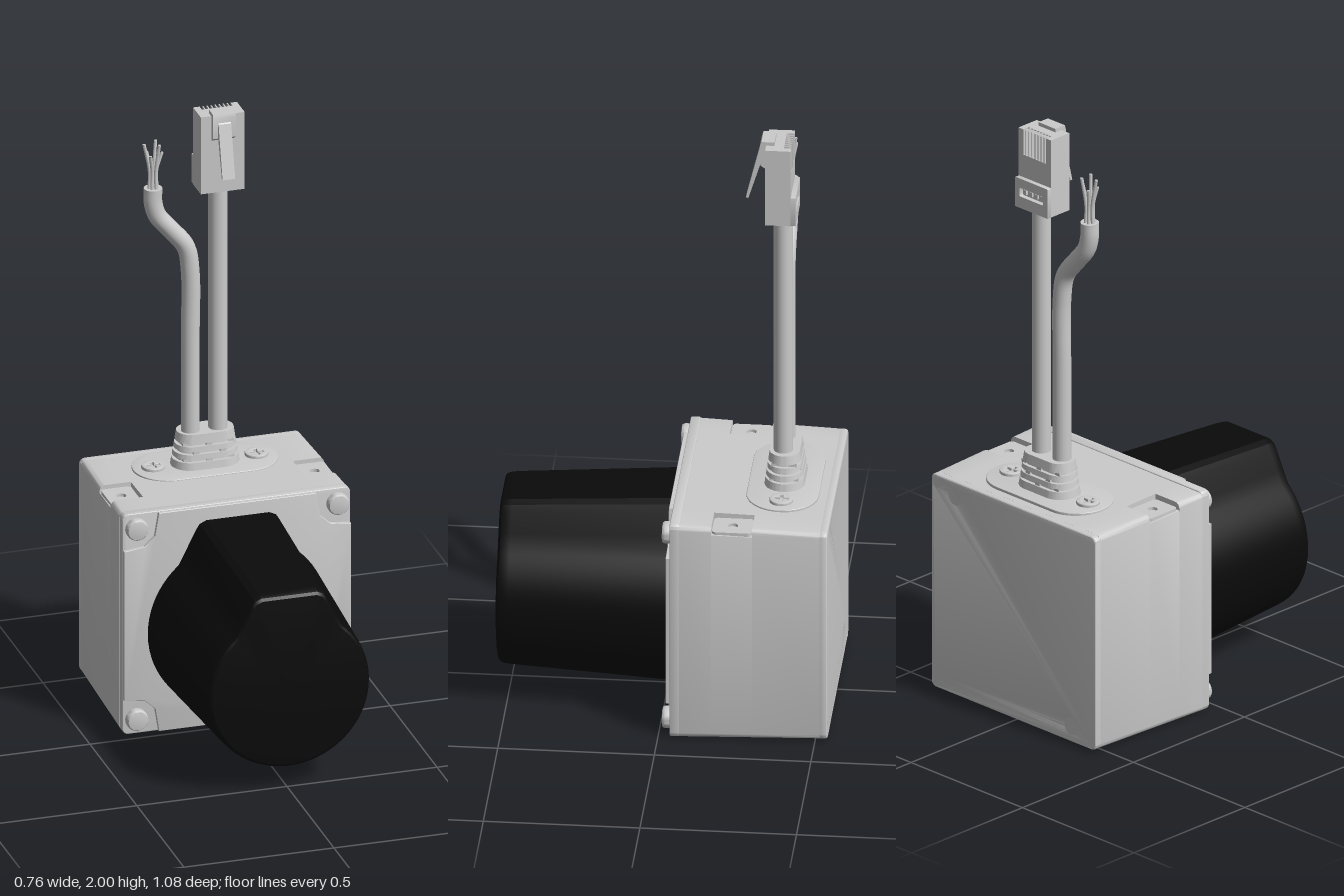
import * as THREE from 'three';
import { toCreasedNormals, mergeGeometries } from 'three/addons/utils/BufferGeometryUtils.js';

const V3 = (x, y, z) => new THREE.Vector3(x, y, z);
const grey = new THREE.MeshStandardMaterial({ color: 0xcccccc });
const black = new THREE.MeshStandardMaterial({ color: 0x0a0a0a });

function add(parent, name, geometry, x = 0, y = 0, z = 0, material = grey) {
  const mesh = new THREE.Mesh(geometry, material);
  mesh.name = name;
  mesh.position.set(x, y, z);
  parent.add(mesh);
  return mesh;
}

// Skin over rings of equal point count (counter-clockwise, stacked towards +z), capped at both ends
function loft(rings, crease = 0.5) {
  const n = rings[0].length, pos = [];
  const tri = (...pts) => pts.forEach(p => pos.push(p.x, p.y, p.z));
  for (let i = 0; i < rings.length - 1; i++) {
    for (let j = 0; j < n; j++) {
      const k = (j + 1) % n, [a, b] = [rings[i], rings[i + 1]];
      tri(a[j], a[k], b[k]);
      tri(a[j], b[k], b[j]);
    }
  }
  [rings[0], rings.at(-1)].forEach((ring, end) => {
    const c = V3(0, 0, 0);
    ring.forEach(p => c.addScaledVector(p, 1 / n));
    for (let j = 0; j < n; j++) {
      const k = (j + 1) % n;
      end ? tri(c, ring[j], ring[k]) : tri(c, ring[k], ring[j]);
    }
  });
  const g = new THREE.BufferGeometry();
  g.setAttribute('position', new THREE.Float32BufferAttribute(pos, 3));
  return toCreasedNormals(g, crease);
}

function extrude(shape, depth, bevel = 0) {
  return toCreasedNormals(new THREE.ExtrudeGeometry(shape, {
    depth, bevelEnabled: bevel > 0, bevelThickness: bevel, bevelSize: bevel, bevelOffset: -bevel,
    bevelSegments: 3, curveSegments: 16
  }), 0.5);
}

const circle = (x, y, r) => new THREE.Path().absarc(x, y, r, 0, Math.PI * 2, true);

function roundRect(x0, y0, x1, y1, r) {
  const s = new THREE.Shape(), h = Math.PI / 2;
  s.absarc(x1 - r, y0 + r, r, -h, 0);
  s.absarc(x1 - r, y1 - r, r, 0, h);
  s.absarc(x0 + r, y1 - r, r, h, 2 * h);
  s.absarc(x0 + r, y0 + r, r, 2 * h, 3 * h);
  return s;
}

// Pan-head screw with a cross recess, facing +z
function screw(r, h) {
  const s = new THREE.Shape().absarc(0, 0, r, 0, Math.PI * 2);
  const a = r * 0.13, b = r * 0.58;
  s.holes.push(new THREE.Path([[b, a], [b, -a], [a, -a], [a, -b], [-a, -b], [-a, -a], [-b, -a], [-b, a],
    [-a, a], [-a, b], [a, b], [a, a]].map(p => new THREE.Vector2(...p))));
  const g = new THREE.ExtrudeGeometry(s, { depth: h * 0.6, bevelThickness: h * 0.4, bevelSize: h * 0.3,
    bevelOffset: -h * 0.3, bevelSegments: 3, curveSegments: 16 });
  const floor = new THREE.CircleGeometry(r * 0.7, 16).toNonIndexed();
  return mergeGeometries([toCreasedNormals(g, 0.5), floor]);
}

// Tapered housing section at depth z; the notched version drops both top corners
function bodyRing(z, notched) {
  const t = (z + 0.54) / 0.47, w = 0.368 + 0.012 * t, top = 0.752 + 0.012 * t, low = 0.012 - 0.008 * t, r = 0.018;
  const arc = (y, from) => [0, 1, 2, 3, 4].map(i => {
    const a = from + i * Math.PI / 8;
    return [w - r + r * Math.cos(a), y + r * Math.sin(a)];
  });
  const d = top - 0.025;
  const corner = notched
    ? [[w, d - 0.004], [w - 0.001, d - 0.001], [w - 0.004, d], [0.32, d], [0.27, d], [0.27, top]]
    : [...arc(top - r, 0), [0.27, top]];
  const half = [...arc(low + r, -Math.PI / 2), ...corner];
  return [...half, ...half.map(([x, y]) => [-x, y]).reverse()].map(([x, y]) => V3(x, y, z));
}

// Circle with a flat-topped hump, as the section of the cover
function coverRing(z, s) {
  const pts = [];
  for (let i = 0; i <= 56; i++) {
    const a = THREE.MathUtils.degToRad(131 + i * 278 / 56);
    pts.push([0.3 * Math.cos(a), 0.35 + 0.3 * Math.sin(a)]);
  }
  const hump = [[0.175, 0.62], [0.14, 0.69], [0.128, 0.71], [0.105, 0.721]];
  pts.push(...hump, ...hump.map(([x, y]) => [-x, y]).reverse());
  return pts.map(([x, y]) => V3(x * s, 0.36 + (y - 0.36) * s, z));
}

// Stadium section for the cable boot
const stadium = (hx, hz, y) => roundRect(-hx, -hz, hx, hz, hz * 0.98).getPoints(8).slice(0, -1).map(p => V3(p.x, p.y, y));

export function createModel() {
  const model = new THREE.Group();
  model.name = 'sensorUnit';

  // Housing
  add(model, 'housing', loft([[-0.516], [-0.3], [-0.3, 1], [-0.17, 1], [-0.17], [-0.068]].map(a => bodyRing(...a))));
  const back = roundRect(-0.369, 0.011, 0.369, 0.753, 0.02);
  for (const x of [-0.343, 0.343]) for (const y of [0.036, 0.728]) back.holes.push(circle(x, y, 0.014));
  back.holes.push(circle(0.26, 0.7, 0.022), circle(-0.26, 0.065, 0.022));
  add(model, 'backPanel', extrude(back, 0.015, 0.007), 0, 0, -0.533);

  // Front flange with lowered screw corners
  add(model, 'frontFlange', extrude(roundRect(-0.38, 0.003, 0.38, 0.768, 0.02), 0.024, 0.004), 0, 0, -0.065);
  const f = new THREE.Shape(), w = 0.378, m = 0.3855, e = 0.38;
  const corner = [[w, e - 0.12], [0.31, e - 0.112], [0.275, e - 0.08], [0.262, e]];
  const loop = [[1, -1], [1, 1], [-1, 1], [-1, -1]].flatMap(([sx, sy]) => {
    const c = corner.map(([x, y]) => new THREE.Vector2(x * sx, m + y * sy));
    return sx * sy > 0 ? c : c.reverse();
  });
  f.setFromPoints(loop);
  add(model, 'frontFace', extrude(f, 0.009, 0.003), 0, 0, -0.036);
  for (const x of [-0.335, 0.335]) for (const y of [0.055, 0.718])
    add(model, 'flangeScrew', screw(0.036, 0.026), x, y, -0.037);

  // Dark cover
  const cover = [[-0.03, 1], [0.49, 0.905], [0.512, 0.897], [0.523, 0.885], [0.529, 0.86], [0.536, 0.6], [0.54, 0.25]];
  add(model, 'cover', loft(cover.map(a => coverRing(...a)), 0.4), 0, 0, 0, black);

  // Mounting pads in the top notches
  for (const s of [-1, 1]) {
    const pad = roundRect(-0.05, -0.063, 0.05, 0.063, 0.012);
    pad.holes.push(circle(0, 0, 0.016));
    add(model, 'mountingPad', extrude(pad, 0.012).rotateX(-Math.PI / 2), s * 0.322, 0.733, -0.235);
  }

  // Cable entry plate, its screws and the slotted boot
  const entry = new THREE.Group();
  entry.name = 'cableEntry';
  entry.position.set(0, 0.752, -0.375);
  model.add(entry);
  const up = g => g.rotateX(-Math.PI / 2);
  add(entry, 'entryPlate', up(extrude(roundRect(-0.238, -0.115, 0.238, 0.115, 0.114), 0.008, 0.003)));
  for (const x of [-0.172, 0.172]) add(entry, 'plateScrew', up(screw(0.038, 0.01)), x, 0.011, 0);
  const bootRing = (y, inset = 0) => stadium(0.114 - y * 0.16 - inset, 0.066 - y * 0.14 - inset, y);
  add(entry, 'bootCore', up(loft([bootRing(0, 0.012), bootRing(0.126, 0.012)])));
  [[0.005, 0.036], [0.046, 0.062], [0.072, 0.088], [0.098, 0.128]].forEach(([a, b], i) => {
    add(entry, 'bootRib', up(loft([bootRing(a), bootRing(b)])));
    if (i === 3) return;
    const xs = i % 2 ? [-0.045, 0.045] : [-0.075, 0, 0.075];
    for (const x of xs)
      add(entry, 'bootBridge', new THREE.BoxGeometry(0.02, 0.012, 2 * (0.062 - b * 0.14) * (Math.abs(x) > 0.06 ? 0.82 : 1)), x, b + 0.005, 0);
  });

  // Cables
  const tube = (name, pts, r, steps, sides) => {
    const curve = new THREE.CatmullRomCurve3(pts.map(p => V3(...p)));
    add(model, name, new THREE.TubeGeometry(curve, steps, r, sides));
    const end = pts.at(-1);
    add(model, name + 'End', new THREE.CircleGeometry(r, sides).rotateX(-Math.PI / 2), ...end);
  };
  const z = -0.37;
  tube('plugCable', [[0.042, 0.8, z], [0.042, 1.3, z], [0.042, 1.73, z]], 0.031, 8, 20);
  tube('wireCable', [[-0.05, 0.8, z], [-0.05, 1.2, z], [-0.05, 1.43, z], [-0.065, 1.52, z], [-0.12, 1.592, z],
    [-0.16, 1.642, z], [-0.174, 1.69, z], [-0.174, 1.74, z]], 0.03, 64, 20);
  for (let i = 0; i < 6; i++) {
    const a = i * Math.PI / 3, c = Math.cos(a), s = Math.sin(a);
    tube('looseWire', [[-0.174 + 0.014 * c, 1.73, z + 0.014 * s], [-0.174 + 0.012 * c, 1.8, z + 0.012 * s],
      [-0.174 + 0.03 * c, 1.86 + 0.035 * (i % 2), z + 0.024 * s]], 0.0055, 10, 8);
  }

  // Modular plug: stepped body, contact comb and latch
  const plug = new THREE.Group();
  plug.name = 'plug';
  plug.position.x = 0.042;
  model.add(plug);
  const side = (name, pts, width) => {
    const shape = new THREE.Shape(pts.map(([pz, py]) => new THREE.Vector2(-pz, py)));
    const g = extrude(shape, width).translate(0, 0, -width / 2).rotateY(Math.PI / 2);
    return add(plug, name, g);
  };
  side('plugBody', [[-0.318, 1.72], [-0.4, 1.72], [-0.4, 1.82], [-0.4, 1.9], [-0.376, 1.9], [-0.376, 1.988], [-0.318, 1.988]], 0.146);
  for (let i = 0; i < 9; i++) {
    const x = (i - 4) * 0.0135;
    add(plug, 'contactRib', new THREE.BoxGeometry(i % 8 ? 0.004 : 0.022, 0.088, 0.024), i % 8 ? x : x * 1.15, 1.944, -0.388);
    if (i < 8) add(plug, 'contact', new THREE.BoxGeometry(0.005, 0.06, 0.012), x + 0.00675, 1.94, -0.382);
  }
  const clamp = roundRect(-0.073, 1.72, 0.073, 1.822, 0.003);
  clamp.holes.push(new THREE.Path(roundRect(-0.052, 1.76, 0.052, 1.79, 0.003).getPoints(3)));
  add(plug, 'clampBlock', extrude(clamp, 0.018), 0, 0, -0.416);
  for (let i = 0; i < 4; i++) add(plug, 'clampTooth', new THREE.BoxGeometry(0.012, 0.016, 0.01), (i - 1.5) * 0.025, 1.775, -0.402);
  side('latchRoot', [[-0.3, 1.915], [-0.322, 1.9], [-0.345, 1.985], [-0.345, 2], [-0.303, 2], [-0.298, 1.985]], 0.076);
  side('latchArm', [[-0.252, 1.79], [-0.26, 1.788], [-0.315, 1.965], [-0.305, 1.975], [-0.295, 1.965]], 0.042);
  return model;
}
